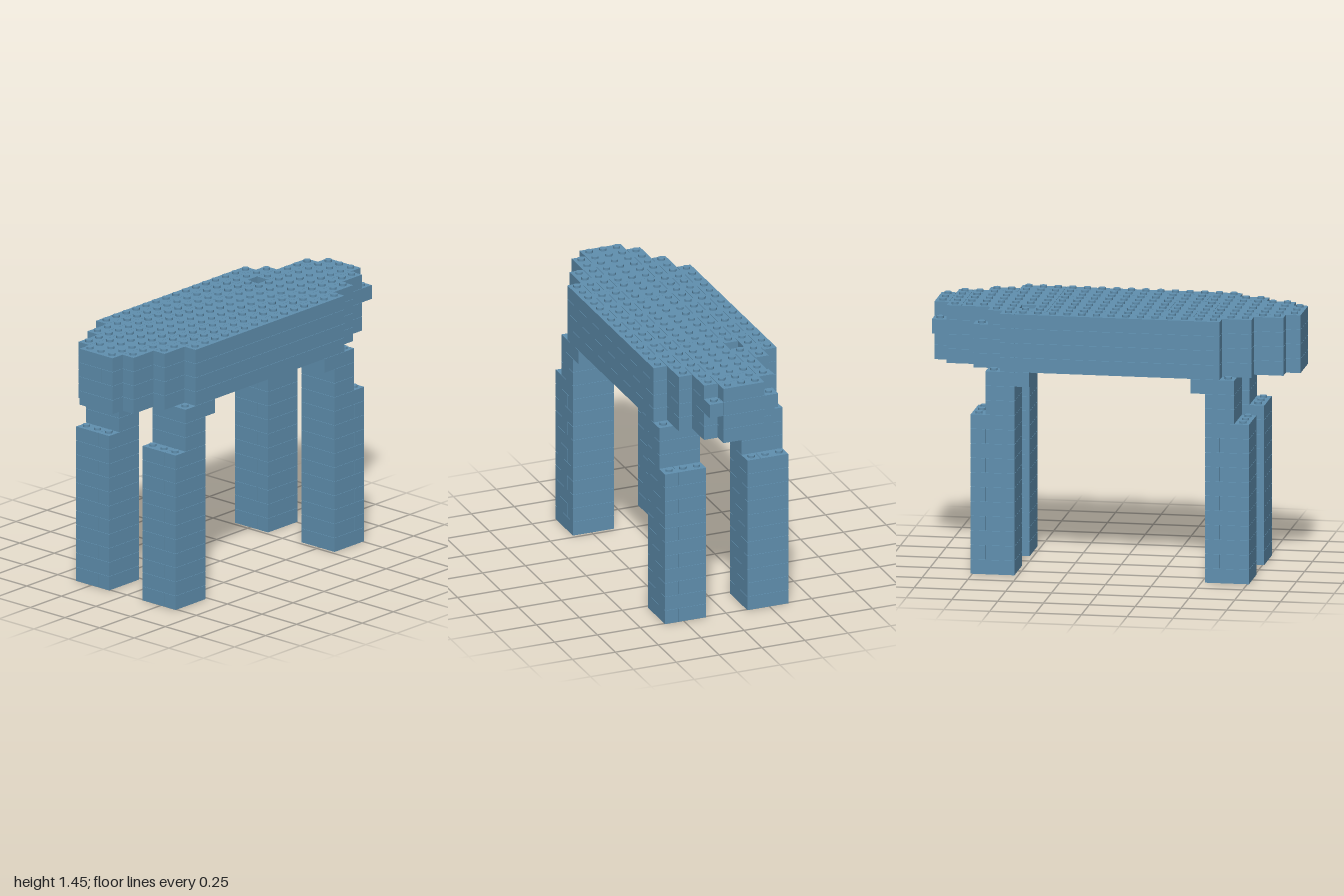
import * as THREE from 'three';

const U = 0.08;      // stud pitch and course height
const GAP = 0.0008;  // hairline seam around each brick

export function createModel() {
  const root = new THREE.Group();
  root.name = 'brickTable';
  const blue = new THREE.MeshStandardMaterial({ color: 0x6090b0 });
  blue.name = 'dustyBlue';

  const filled = new Set();
  const key = (i, y, k) => `${i},${y},${k}`;

  // Brick on the stud grid: columns i0..i1 along x, rows k0..k1 along z, course y
  function brick(parent, name, i0, i1, k0, k1, y) {
    const geo = new THREE.BoxGeometry((i1 - i0) * U - 2 * GAP, U - 2 * GAP, (k1 - k0) * U - 2 * GAP);
    const mesh = new THREE.Mesh(geo, blue);
    mesh.name = name;
    mesh.position.set(-1 + (i0 + i1) / 2 * U, (y + 0.5) * U, -0.36 + (k0 + k1) / 2 * U);
    parent.add(mesh);
    for (let i = i0; i < i1; i++)
      for (let k = k0; k < k1; k++) filled.add(key(i, y, k));
  }

  // Four legs: staggered lower courses, narrower upper courses, inner bracket
  for (const [side, i0] of [['Right', 3], ['Left', 19]]) {
    for (const [end, k0] of [['back', 0], ['front', 6]]) {
      const leg = new THREE.Group();
      leg.name = `${end}${side}Leg`;
      root.add(leg);
      for (let y = 0; y < 11; y++) {
        if (y % 2 === 0) {
          brick(leg, 'legBrick', i0, i0 + 3, k0, k0 + 2, y);
          brick(leg, 'legBrick', i0, i0 + 3, k0 + 2, k0 + 3, y);
        } else {
          brick(leg, 'legBrick', i0, i0 + 2, k0, k0 + 3, y);
          brick(leg, 'legBrick', i0 + 2, i0 + 3, k0, k0 + 3, y);
        }
      }
      const upper = side === 'Left' ? 19 : 4;
      for (let y = 11; y < 14; y++) brick(leg, 'upperLegBrick', upper, upper + 2, k0, k0 + 3, y);
      const inner = side === 'Left' ? 18 : 6;
      brick(leg, 'legBracket', inner, inner + 1, k0, k0 + 3, 13);
    }
  }

  // Body courses: each row is [k0, k1, runs], and each run lists its seam columns
  const low = [
    [0, 1, [[5, 19, 20]]], [1, 2, [[3, 19, 22]]], [2, 3, [[1, 23, 24]]],
    [3, 6, [[0, 12, 25]]],
    [6, 7, [[1, 23, 24]]], [7, 8, [[3, 19, 22]]], [8, 9, [[5, 19, 20]]],
  ];
  const third = [
    [0, 1, [[5, 19, 20]]], [1, 2, [[3, 19, 22]]], [2, 3, [[1, 18], [19, 25]]],
    [3, 5, [[0, 12, 25]]], [5, 6, [[0, 12, 25]]],
    [6, 7, [[1, 25]]], [7, 8, [[3, 19, 22]]], [8, 9, [[5, 19, 20]]],
  ];
  const top = [
    [0, 1, [[5, 19, 20]]], [1, 2, [[3, 7, 17, 21]]], [2, 3, [[1, 7, 17, 18], [19, 23, 24]]],
    [3, 6, [[0, 6, 9, 17, 23, 24, 25]]],
    [6, 7, [[1, 7, 17, 23, 24]]], [7, 8, [[3, 7, 17, 20, 22]]], [8, 9, [[5, 17, 20]]],
  ];
  const body = new THREE.Group();
  body.name = 'body';
  root.add(body);
  [low, low, third, top].forEach((rows, n) => {
    for (const [k0, k1, runs] of rows)
      for (const cuts of runs)
        for (let c = 0; c + 1 < cuts.length; c++)
          brick(body, 'bodyBrick', cuts[c], cuts[c + 1], k0, k1, 14 + n);
  });

  // Studs on every cell left uncovered
  const studs = new THREE.Group();
  studs.name = 'studs';
  root.add(studs);
  const studGeo = new THREE.CylinderGeometry(0.0195, 0.0195, 0.014, 16);
  for (const cell of filled) {
    const [i, y, k] = cell.split(',').map(Number);
    if (filled.has(key(i, y + 1, k))) continue;
    const stud = new THREE.Mesh(studGeo, blue);
    stud.name = 'stud';
    stud.position.set(-1 + (i + 0.5) * U, (y + 1) * U + 0.005, -0.36 + (k + 0.5) * U);
    studs.add(stud);
  }
  return root;
}
